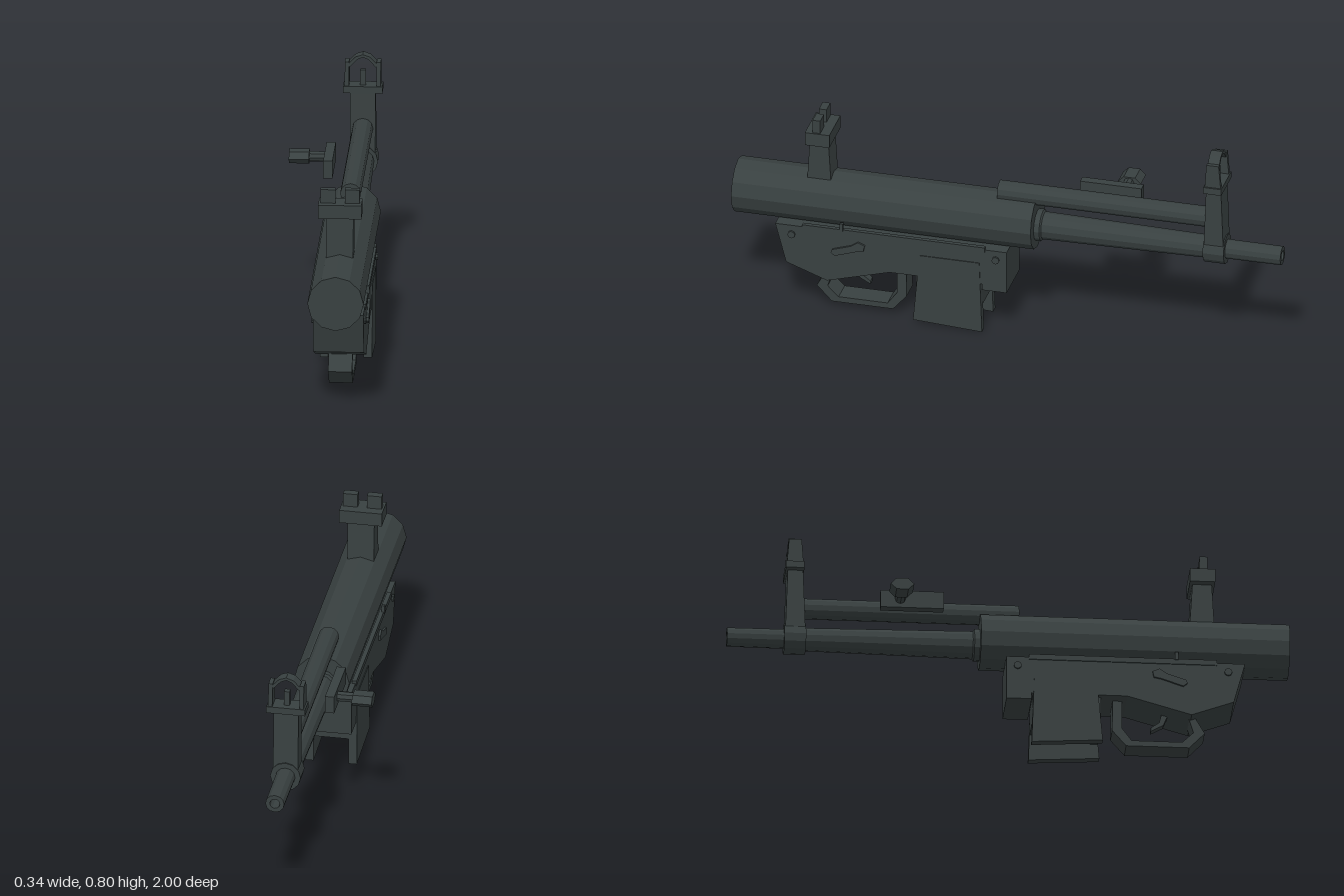
import * as THREE from 'three';

const CX = 0.07; // x of the centre line

export function createModel() {
  const root = new THREE.Group();
  root.name = 'prop';
  const steel = new THREE.MeshStandardMaterial({ color: 0x384040, flatShading: true });
  steel.name = 'dark steel';

  const add = (name, geo) => {
    const m = new THREE.Mesh(geo, steel);
    m.name = name;
    root.add(m);
    return m;
  };
  // Box from its limits on each axis
  const box = (name, x0, x1, y0, y1, z0, z1) =>
    add(name, new THREE.BoxGeometry(x1 - x0, y1 - y0, z1 - z0)
      .translate((x0 + x1) / 2, (y0 + y1) / 2, (z0 + z1) / 2));
  // Side profile of (z, y) points, extruded between x0 and x1
  const plate = (name, pts, x0, x1) => {
    const shape = new THREE.Shape(pts.map(p => new THREE.Vector2(...p)));
    return add(name, new THREE.ExtrudeGeometry(shape, { depth: x1 - x0, bevelEnabled: false })
      .rotateY(-Math.PI / 2).translate(x1, 0, 0));
  };
  // Front profile of (x, y) points, extruded between z0 and z1
  const slab = (name, pts, z0, z1) => {
    const shape = new THREE.Shape(pts.map(p => new THREE.Vector2(...p)));
    return add(name, new THREE.ExtrudeGeometry(shape, { depth: z1 - z0, bevelEnabled: false })
      .translate(0, 0, z0));
  };
  // Cylinder along z
  const rod = (name, r, y, z0, z1, sides = 12) =>
    add(name, new THREE.CylinderGeometry(r, r, z1 - z0, sides)
      .rotateX(Math.PI / 2).translate(CX, y, (z0 + z1) / 2));
  // Post tapering upwards in z
  const post = (name, hw, y0, y1, zc, d0, d1) =>
    plate(name, [[zc - d0, y0], [zc + d0, y0], [zc + d1, y1], [zc - d1, y1]], CX - hw, CX + hw);

  // Main tube, upper tube and hollow tapered barrel
  rod('mainTube', 0.1, 0.427, -0.1, 1);
  rod('upperTube', 0.037, 0.535, -0.75, 0.04);
  const barrel = [[0, 0.05], [0.058, 0.05], [0.058, 0.12], [0.05, 0.125], [0.041, 0.75],
    [0.035, 0.8], [0.034, 1], [0.018, 1], [0.018, 0.93], [0, 0.93]];
  add('barrel', new THREE.LatheGeometry(barrel.map(p => new THREE.Vector2(...p)), 12)
    .rotateX(-Math.PI / 2).translate(CX, 0.415, 0));

  // Rear sight
  post('rearSightPost', 0.048, 0.5, 0.665, 0.69, 0.044, 0.034);
  box('rearSightBase', -0.007, 0.147, 0.66, 0.71, 0.645, 0.735);
  for (const s of [-1, 1]) {
    const c = CX + s * 0.0435;
    box('rearSightBlock', c - 0.0265, c + 0.0265, 0.71, 0.76, 0.68, 0.708);
  }

  // Front sight: ring on the barrel, post, ears, arched hood and pin
  rod('frontSightRing', 0.055, 0.415, -0.797, -0.72);
  post('frontSightPost', 0.045, 0.4, 0.675, -0.758, 0.037, 0.027);
  box('frontSightBase', 0, 0.14, 0.665, 0.69, -0.793, -0.727);
  for (const s of [-1, 1]) {
    const a = CX + s * 0.049, b = CX + s * 0.064;
    plate('frontSightEar', [[-0.79, 0.68], [-0.73, 0.68], [-0.737, 0.778], [-0.782, 0.778]],
      Math.min(a, b), Math.max(a, b));
  }
  const arc = [[0.054, 0.768], [0.026, 0.797], [0, 0.806]];
  const half = (o, s) => arc.map(([x, y]) => [CX + s * (x - o), y - o]);
  slab('frontSightHood', [...half(0, 1), ...half(0, -1).reverse().slice(1),
    [CX - 0.046, 0.759], [CX - 0.021, 0.787], [CX, 0.796], [CX + 0.021, 0.787], [CX + 0.046, 0.759]],
    -0.78, -0.738);
  box('frontSightPin', 0.06, 0.08, 0.68, 0.745, -0.77, -0.748);

  // Lower housing with the block at its far end
  plate('lowerHousing', [[0.84, 0.335], [0.8, 0.185], [0.65, 0.13], [0.42, 0.195], [0.08, 0.195],
    [0.08, 0.172], [-0.01, 0.172], [-0.01, 0.335]], -0.02, 0.16);

  // Open well below the housing: two side plates and two cross walls
  const well = [[0.31, 0.28], [0.333, 0.018], [0.08, 0.003], [0.09, 0.28]];
  plate('wellSide', well, -0.023, 0.007);
  plate('wellSide', well, 0.133, 0.163);
  box('wellFrontWall', 0, 0.14, 0.072, 0.2, 0.3, 0.328);
  box('wellBackWall', 0, 0.14, 0.1, 0.2, 0.085, 0.11);

  // Trigger guard loop and trigger
  plate('triggerGuard', [[0.66, 0.15], [0.7, 0.08], [0.645, 0.022], [0.42, 0.022], [0.37, 0.08],
    [0.372, 0.2], [0.405, 0.2], [0.405, 0.09], [0.44, 0.043], [0.62, 0.043],
    [0.66, 0.082], [0.645, 0.13], [0.62, 0.15]], 0.027, 0.112);
  plate('trigger', [[0.575, 0.17], [0.555, 0.12], [0.51, 0.095], [0.51, 0.108], [0.54, 0.13], [0.55, 0.17]],
    0.055, 0.085);

  // Details on both sides: ledge, lever, pins and lug
  for (const s of [-1, 1]) {
    const span = (a, b) => [Math.min(CX + s * a, CX + s * b), Math.max(CX + s * a, CX + s * b)];
    box('sideLedge', ...span(0.078, 0.094), 0.325, 0.345, 0.07, 0.74);
    plate('selectorLever', [[0.635, 0.25], [0.62, 0.238], [0.54, 0.265], [0.515, 0.27],
      [0.51, 0.292], [0.535, 0.303], [0.56, 0.285], [0.63, 0.262]], ...span(0.088, 0.098));
    box('sideLug', ...span(0.086, 0.098), 0.34, 0.37, 0.59, 0.602);
    for (const [z, y] of [[0.78, 0.3], [0.03, 0.3]]) {
      add('pin', new THREE.CylinderGeometry(0.014, 0.014, 0.008, 8)
        .rotateZ(Math.PI / 2).translate(CX + s * 0.093, y, z));
    }
  }

  // Side handle: plate, shaft and six-sided knob
  box('handlePlate', -0.043, -0.01, 0.502, 0.567, -0.46, -0.235);
  add('handleShaft', new THREE.CylinderGeometry(0.019, 0.019, 0.065, 8)
    .rotateZ(Math.PI / 2).translate(-0.072, 0.535, -0.39));
  add('handleKnob', new THREE.CylinderGeometry(0.042, 0.042, 0.072, 6)
    .rotateZ(Math.PI / 2).scale(1, 0.58, 1).translate(-0.136, 0.535, -0.392));

  return root;
}
